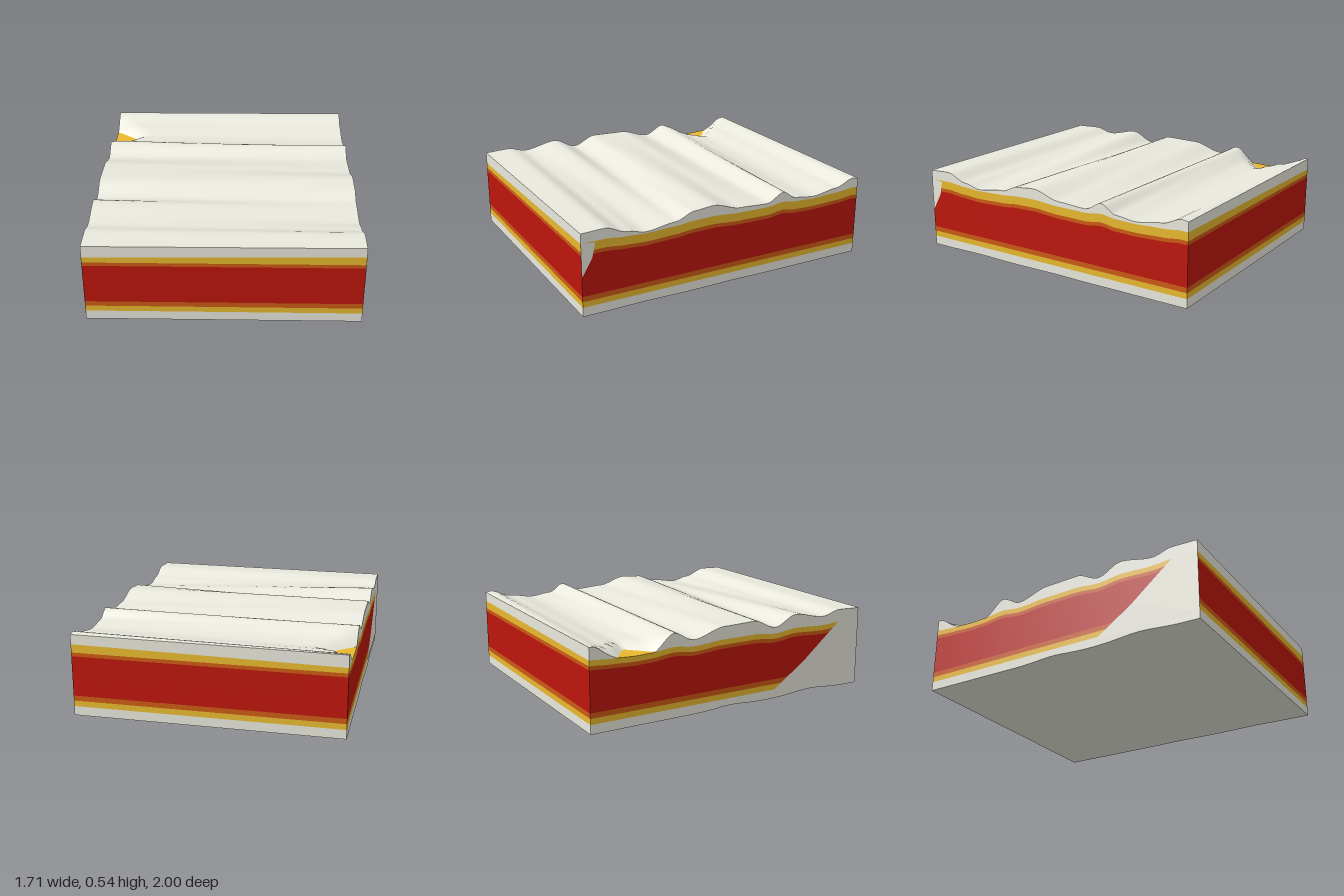
import * as THREE from 'three';

const HALF_X = 0.855;
const WHITE = 0xe9e8dd, YELLOW = 0xe8b92e, ORANGE = 0xcc5a14, RED = 0xbd160c;

// Crests and valleys of the top at the two ends, as [z, y]
const LOW_X_PROFILE = [[-1, 0.525], [-0.85, 0.49], [-0.7, 0.465], [-0.6, 0.475], [-0.44, 0.535], [-0.3, 0.475],
  [-0.08, 0.53], [0.15, 0.535], [0.31, 0.475], [0.47, 0.54], [0.7, 0.5], [0.83, 0.53], [1, 0.525]];
const HIGH_X_PROFILE = [[-1, 0.53], [-0.96, 0.537], [-0.82, 0.49], [-0.64, 0.465], [-0.5, 0.48], [-0.4, 0.535], [-0.28, 0.48],
  [-0.08, 0.49], [0.12, 0.54], [0.25, 0.53], [0.38, 0.485], [0.58, 0.46], [0.7, 0.485], [0.85, 0.535], [1, 0.53]];

const clamp01 = (v) => Math.min(1, Math.max(0, v));

// Smooth height between neighbouring profile points
function heightAt(profile, z) {
  for (let i = 1; i < profile.length; i++) {
    const [z0, y0] = profile[i - 1];
    const [z1, y1] = profile[i];
    if (z <= z1 + 1e-6) {
      const t = clamp01((z - z0) / (z1 - z0));
      return y0 + (y1 - y0) * t * t * (3 - 2 * t);
    }
  }
  return profile[profile.length - 1][1];
}

const along = (x) => (x + HALF_X) / (2 * HALF_X);

function ridges(x, z) {
  const a = heightAt(LOW_X_PROFILE, z);
  return a + (heightAt(HIGH_X_PROFILE, z) - a) * along(x);
}

// Top surface, with a notch at one corner that bares the layer below
function topSurface(x, z) {
  const notch = clamp01(1 - (x + HALF_X) / 0.23) - Math.abs(z + 0.7) / 0.25;
  return ridges(x, z) - 0.1 * Math.max(0, notch);
}

// Underside, lifted slightly in two shallow grooves
function underside(x, z) {
  const groove = Math.exp(-(((z - 0.6) / 0.18) ** 2)) + 0.7 * Math.exp(-(((z + 0.02) / 0.15) ** 2));
  return 0.02 * groove * (1 - 0.8 * along(x));
}

// Inner boundaries: flat below, faintly rippled above
const flat = (y) => () => y;
const rippled = (y, rise = 0) => (x, z) => y + rise * along(x) + 0.25 * (ridges(x, z) - 0.52);

// A block whose upper and lower faces follow two height functions
function layer(name, color, lower, upper) {
  const geo = new THREE.BoxGeometry(2 * HALF_X, 1, 2, 28, 1, 100);
  const p = geo.attributes.position;
  for (let i = 0; i < p.count; i++) {
    const f = p.getY(i) > 0 ? upper : lower;
    p.setY(i, f(p.getX(i), p.getZ(i)));
  }
  geo.computeVertexNormals();
  const mesh = new THREE.Mesh(geo, new THREE.MeshStandardMaterial({ color }));
  mesh.name = name;
  return mesh;
}

// Thin white smear on an end wall, outlined in [z, y]
function wallSmear(name, side, outline) {
  const shape = new THREE.Shape(outline.map(([z, y]) => new THREE.Vector2(-z, y)));
  const mat = new THREE.MeshStandardMaterial({ color: WHITE, side: THREE.DoubleSide });
  const mesh = new THREE.Mesh(new THREE.ShapeGeometry(shape), mat);
  mesh.rotation.y = Math.PI / 2;
  mesh.position.x = side * (HALF_X + 0.001);
  mesh.name = name;
  return mesh;
}

export function createModel() {
  const group = new THREE.Group();
  group.name = 'layeredSlab';

  // Boundaries from the underside to the top
  const bounds = [underside, flat(0.06), flat(0.097), flat(0.13),
    rippled(0.387), rippled(0.411), rippled(0.445, 0.02), topSurface];
  const layers = [['bottomSkin', WHITE], ['lowerYellowLayer', YELLOW], ['lowerOrangeLayer', ORANGE], ['redCore', RED],
    ['upperOrangeLayer', ORANGE], ['upperYellowLayer', YELLOW], ['topSkin', WHITE]];
  layers.forEach(([name, color], i) => group.add(layer(name, color, bounds[i], bounds[i + 1])));

  // White corners on the end walls
  group.add(wallSmear('leftWallCorner', 1, [[1, 0.25], [0.93, 0.37], [0.91, 0.46], [1, 0.47]]));
  group.add(wallSmear('rightWallCorner', -1, [[1, 0.04], [0.3, 0.05], [0.55, 0.22], [0.83, 0.45], [1, 0.46]]));
  return group;
}
